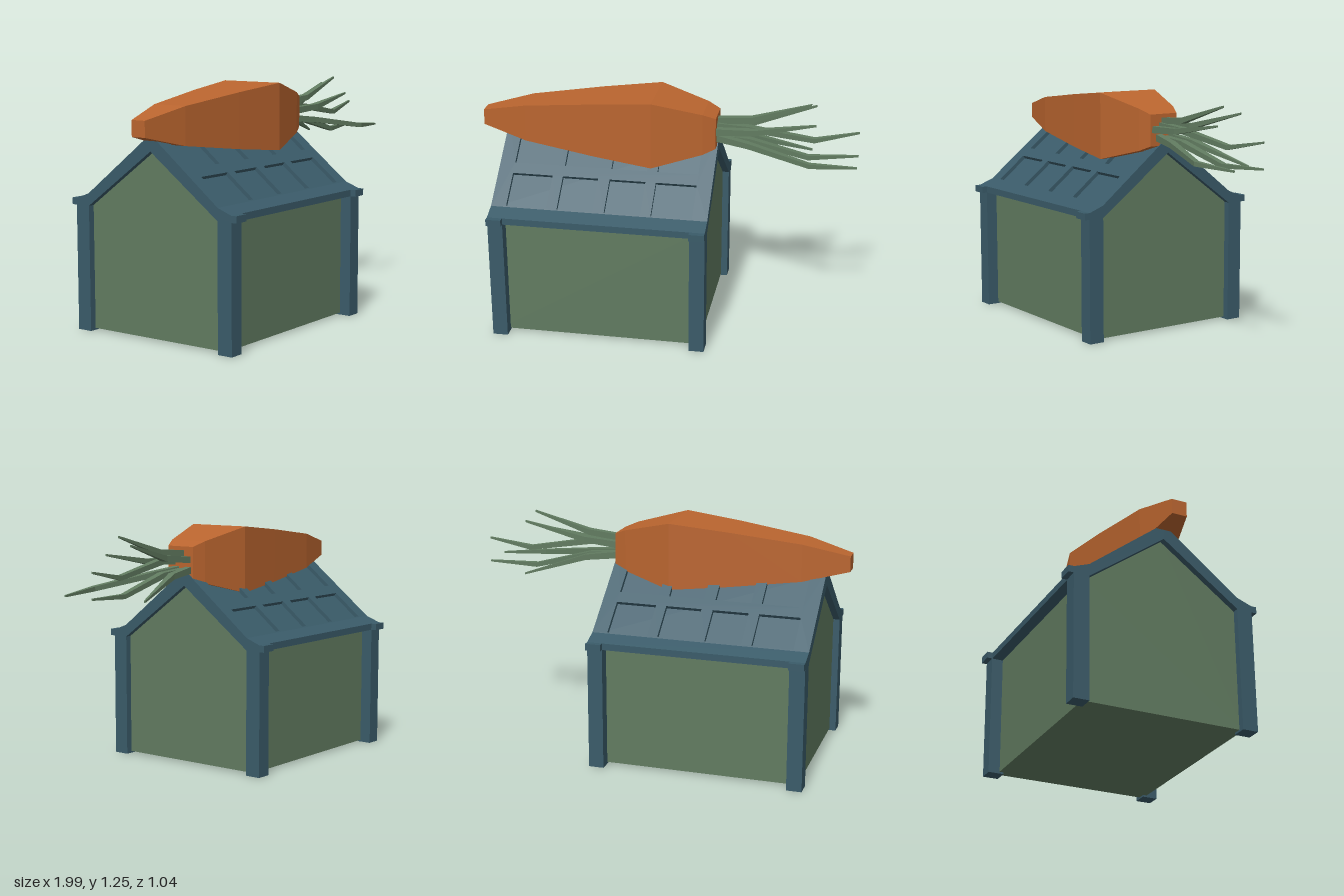
import * as THREE from 'three';

const mat = (name, color) => {
  const m = new THREE.MeshStandardMaterial({ color });
  m.name = name;
  return m;
};

// Flat-faced rectangular loft along x; sections are [x, y, z, halfHeight, halfWidth]
function loft(sections) {
  const corners = [[1, 1], [-1, 1], [-1, -1], [1, -1]];
  const pos = [];
  const index = [];
  for (const [x, y, z, h, w] of sections) {
    for (const [sy, sz] of corners) pos.push(x, y + sy * h, z + sz * w);
  }
  for (let i = 0; i < sections.length - 1; i++) {
    for (let k = 0; k < 4; k++) {
      const a = i * 4 + k, b = i * 4 + (k + 1) % 4;
      index.push(a, b, b + 4, a, b + 4, a + 4);
    }
  }
  const e = (sections.length - 1) * 4;
  index.push(0, 2, 1, 0, 3, 2, e, e + 1, e + 2, e, e + 2, e + 3);
  const g = new THREE.BufferGeometry();
  g.setAttribute('position', new THREE.Float32BufferAttribute(pos, 3));
  g.setIndex(index);
  const flat = g.toNonIndexed();
  flat.computeVertexNormals();
  return flat;
}

// Symmetric (z, y) profile given by its +z half, extruded along x and centred
function prism(half, length) {
  const mirrored = half.filter(([z]) => z > 0).map(([z, y]) => [-z, y]);
  const order = [...half, ...mirrored];
  const shape = new THREE.Shape(order.map(([z, y]) => new THREE.Vector2(z, y)));
  const g = new THREE.ExtrudeGeometry(shape, { depth: length, bevelEnabled: false });
  return g.translate(0, 0, -length / 2).rotateY(Math.PI / 2);
}

export function createModel() {
  const model = new THREE.Group();
  const blue = mat('slate blue', 0x3a5b69);
  const green = mat('sage green', 0x617b60);
  const orange = mat('carrot orange', 0xba652f);
  const add = (parent, name, geometry, material, x = 0, y = 0, z = 0) => {
    const mesh = new THREE.Mesh(geometry, material);
    mesh.name = name;
    mesh.position.set(x, y, z);
    parent.add(mesh);
    return mesh;
  };

  const house = new THREE.Group();
  house.name = 'house';
  house.position.x = -0.31;
  model.add(house);

  // Walls with gable ends
  const wall = new THREE.Shape([[-0.43, 0.01], [0.43, 0.01], [0.43, 0.66], [0, 0.975], [-0.43, 0.66]]
    .map(p => new THREE.Vector2(...p)));
  const wallGeo = new THREE.ExtrudeGeometry(wall, { depth: 1.07, bevelEnabled: false });
  add(house, 'walls', wallGeo.translate(0, 0, -0.535).rotateY(Math.PI / 2), green);

  // Corner posts and the small blocks at the eave ends
  for (const sx of [-1, 1]) {
    for (const sz of [-1, 1]) {
      add(house, 'cornerPost', new THREE.BoxGeometry(0.08, 0.66, 0.083), blue, sx * 0.53, 0.33, sz * 0.45);
      add(house, 'eaveBlock', new THREE.BoxGeometry(0.08, 0.035, 0.04), blue, sx * 0.53, 0.6675, sz * 0.5);
    }
  }

  // Roof core: underside ridge, eaves, flare, then the sunken slope and top ridge
  const right = [[0.41, 0.65], [0.49, 0.65], [0.49, 0.685], [0.41, 0.715], [0.398, 0.699]];
  const left = right.map(([z, y]) => [-z, y]).reverse();
  const roofShape = new THREE.Shape([[0, 0.955], ...right, [0, 1.0145], ...left]
    .map(p => new THREE.Vector2(...p)));
  const roofGeo = new THREE.ExtrudeGeometry(roofShape, { depth: 1.14, bevelEnabled: false });
  add(house, 'roof', roofGeo.translate(0, 0, -0.57).rotateY(Math.PI / 2), blue);

  // Roof lattice: one plate per slope, with two rows of four openings
  const slope = Math.hypot(0.41, 0.325);
  const rect = (Type, x0, x1, y0, y1) => new Type([[x0, y0], [x1, y0], [x1, y1], [x0, y1]]
    .map(p => new THREE.Vector2(...p)));
  const lattice = rect(THREE.Shape, -0.57, 0.57, 0, slope);
  for (const [x0, x1] of [[-0.49, -0.275], [-0.22, -0.03], [0.03, 0.22], [0.275, 0.49]]) {
    for (const [y0, y1] of [[0.008, 0.204], [0.268, 0.472]]) {
      lattice.holes.push(rect(THREE.Path, x0, x1, y0, y1));
    }
  }
  const latticeGeo = new THREE.ExtrudeGeometry(lattice, { depth: 0.02, bevelEnabled: false });
  latticeGeo.rotateX(-Math.atan2(0.41, 0.325)).translate(0, 0.699, 0.398);
  for (const turn of [0, Math.PI]) {
    add(house, 'roofLattice', latticeGeo, blue).rotation.y = turn;
  }

  // Square-sided carrot lying along the ridge
  const carrot = [[-1, 0.041], [-0.76, 0.098], [-0.38, 0.145], [-0.07, 0.177], [0.19, 0.11], [0.255, 0.083]]
    .map(([x, r]) => [x, 1.077, 0.027, r, r]);
  add(model, 'carrot', loft(carrot), orange);

  // Bent, tapering leaves: base, bend and tip as [x, y, z]
  const leaves = [
    [[0.23, 1.12, 0.02], [0.43, 1.14, 0.03], [0.74, 1.235, 0.02]],
    [[0.23, 1.09, -0.02], [0.44, 1.11, -0.02], [0.76, 1.197, -0.075]],
    [[0.23, 1.08, 0.08], [0.45, 1.09, 0.085], [0.77, 1.145, 0.08]],
    [[0.23, 1.04, -0.02], [0.42, 1.02, -0.05], [0.74, 0.925, -0.145]],
    [[0.23, 1.1, 0.04], [0.42, 1.09, 0.03], [0.76, 1.035, 0.0], [0.99, 1.08, -0.03]],
    [[0.23, 1.04, 0.05], [0.42, 1.02, 0.09], [0.75, 0.968, 0.19], [0.99, 0.955, 0.15]],
    [[0.23, 1.03, 0.02], [0.42, 1.02, 0.02], [0.73, 0.94, 0.005], [0.99, 0.95, -0.03]],
  ];
  const thickness = [[0.018, 0.018], [0.015, 0.02], [0.012, 0.015], [0.005, 0.005]];
  for (const path of leaves) {
    const sections = path.map((p, i) => [...p, ...thickness[i === path.length - 1 ? 3 : i]]);
    add(model, 'carrotLeaf', loft(sections), green);
  }
  return model;
}
